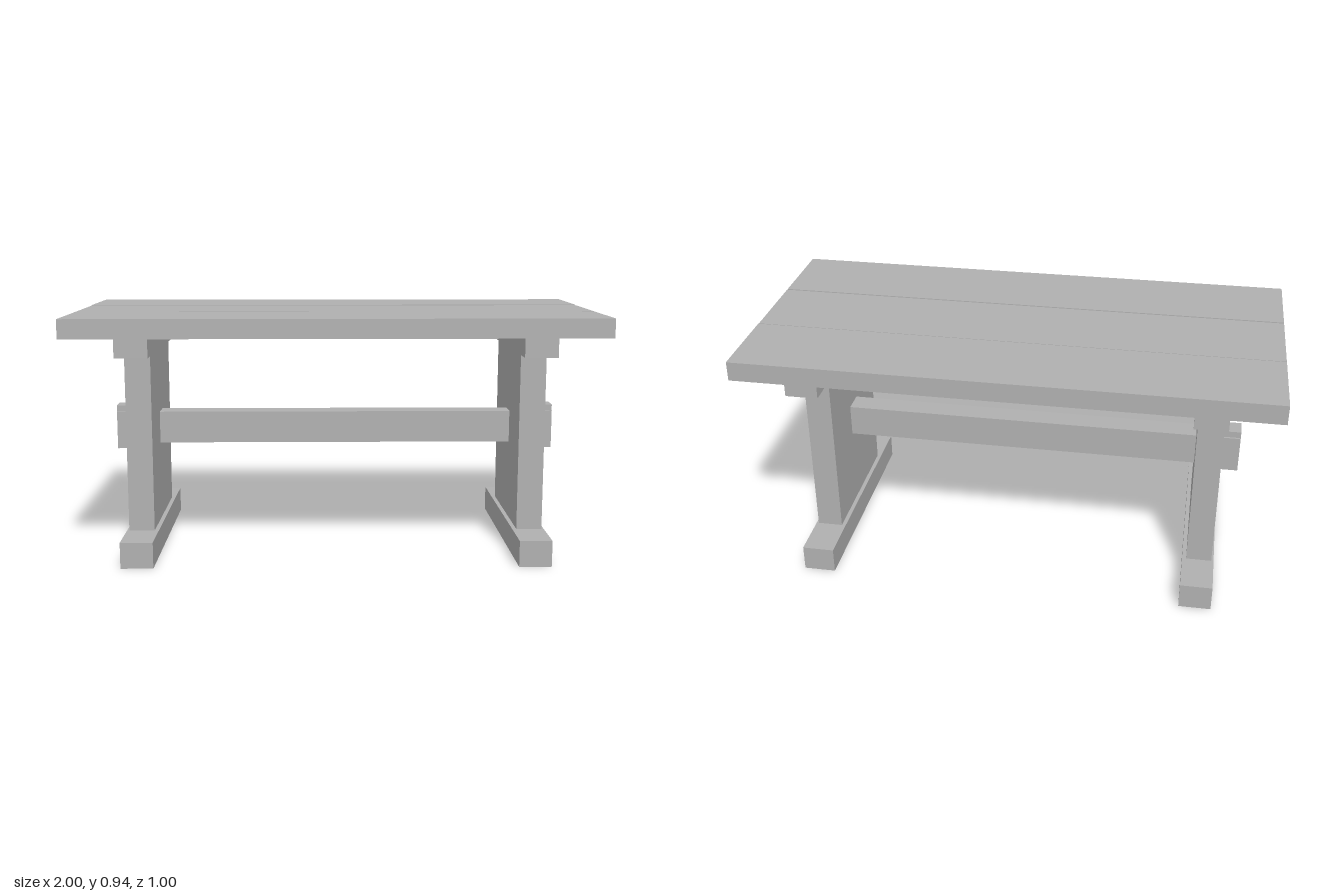
import * as THREE from 'three';

export function createModel() {
  const table = new THREE.Group();
  table.name = 'trestleTable';
  const grey = new THREE.MeshStandardMaterial({ color: 0xb0b0b0 });
  grey.name = 'plain grey';

  // Box given by its limits on each axis
  function box(name, [x0, x1], [y0, y1], [z0, z1], parent = table) {
    const mesh = new THREE.Mesh(new THREE.BoxGeometry(x1 - x0, y1 - y0, z1 - z0), grey);
    mesh.position.set((x0 + x1) / 2, (y0 + y1) / 2, (z0 + z1) / 2);
    mesh.name = name;
    parent.add(mesh);
  }

  // Table top: three planks with narrow gaps, the back one a touch thicker
  box('frontPlank', [-1, 1], [0.865, 0.937], [0.171, 0.5]);
  box('middlePlank', [-1, 1], [0.865, 0.937], [-0.163, 0.163]);
  box('backPlank', [-1, 1], [0.865, 0.939], [-0.5, -0.17]);

  // Trestles: foot, upright board, cleat and the key on the outer face
  for (const side of [1, -1]) {
    const trestle = new THREE.Group();
    trestle.name = side > 0 ? 'leftTrestle' : 'rightTrestle';
    const span = (a, b) => (side > 0 ? [a, b] : [-b, -a]);
    box('foot', span(0.686, 0.809), [0, 0.1], [-0.45, 0.45], trestle);
    box('upright', span(0.702, 0.8), [0.1, 0.79], [-0.275, 0.275], trestle);
    box('cleat', span(0.686, 0.809), [0.79, 0.865], [-0.45, 0.45], trestle);
    box('key', span(0.79, 0.874), [0.378, 0.553], [-0.037, 0.037], trestle);
    table.add(trestle);
  }

  // Stretcher passing through both uprights
  box('stretcher', [-0.873, 0.873], [0.403, 0.528], [-0.045, 0.045]);

  return table;
}
